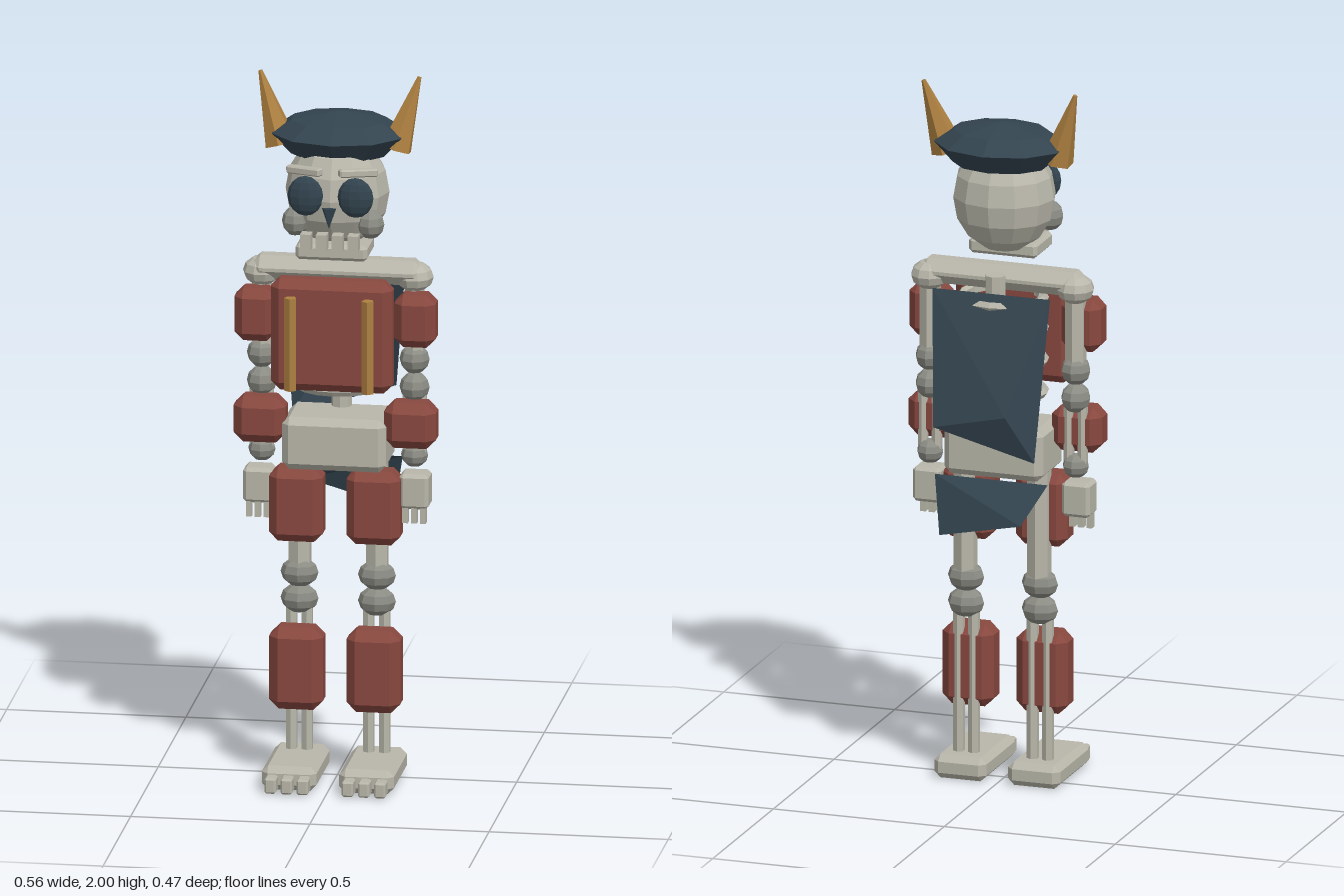
import * as THREE from 'three';
import { ConvexGeometry } from 'three/addons/geometries/ConvexGeometry.js';

function material(name, color, side = THREE.FrontSide) {
  const m = new THREE.MeshStandardMaterial({ color, flatShading: true, side });
  m.name = name;
  return m;
}

export function createModel() {
  const bone = material('bone', 0xb9b7aa);
  const joint = material('jointBone', 0x8b8c84);
  const red = material('redArmour', 0x88483f);
  const cloth = material('darkCloth', 0x33444f, THREE.DoubleSide);
  const gold = material('gold', 0xad8040);

  const root = new THREE.Group();
  root.name = 'skeletonWarrior';

  function add(name, geometry, mat, x = 0, y = 0, z = 0, parent = root) {
    const mesh = new THREE.Mesh(geometry, mat);
    mesh.name = name;
    mesh.position.set(x, y, z);
    parent.add(mesh);
    return mesh;
  }

  // Box with all edges and corners bevelled by c
  function bevelBox(w, h, d, c) {
    const points = [];
    for (const x of [-1, 1]) for (const y of [-1, 1]) for (const z of [-1, 1]) {
      const a = w / 2, b = h / 2, e = d / 2;
      points.push(new THREE.Vector3(x * a, y * (b - c), z * (e - c)));
      points.push(new THREE.Vector3(x * (a - c), y * b, z * (e - c)));
      points.push(new THREE.Vector3(x * (a - c), y * (b - c), z * e));
    }
    return new ConvexGeometry(points);
  }
  const ball = (rx, ry, rz, w = 8, h = 6) => new THREE.SphereGeometry(1, w, h).scale(rx, ry, rz);
  const rod = (r, length, sides = 6) => new THREE.CylinderGeometry(r, r, length, sides);

  // Flat cloth piece from an outline and its triangles
  function clothPiece(name, corners, faces) {
    const g = new THREE.BufferGeometry();
    g.setAttribute('position', new THREE.Float32BufferAttribute(corners.flat(), 3));
    g.setIndex(faces);
    const flat = g.toNonIndexed();
    flat.computeVertexNormals();
    add(name, flat, cloth);
  }

  // Head
  const head = new THREE.Group();
  head.name = 'head';
  root.add(head);
  add('skull', ball(0.145, 0.16, 0.138, 12, 8), bone, 0, 1.68, -0.003, head);
  add('jaw', bevelBox(0.2, 0.045, 0.14, 0.01), bone, 0, 1.53, 0.048, head);
  for (let i = 0; i < 4; i++) {
    add('tooth', new THREE.BoxGeometry(0.03, 0.045, 0.035), bone, (i - 1.5) * 0.044, 1.568, 0.135, head);
  }
  const nose = add('noseHole', new THREE.ConeGeometry(0.021, 0.058, 5), cloth, 0, 1.64, 0.155, head);
  nose.rotation.x = Math.PI;
  nose.scale.z = 0.45;

  // Cap
  const capProfile = [[0, 1.9], [0.135, 1.875], [0.19, 1.838], [0.137, 1.78], [0, 1.78]]
    .reverse().map(([r, y]) => new THREE.Vector2(r, y));
  const cap = add('cap', new THREE.LatheGeometry(capProfile, 10), cloth, 0, 0, -0.03, head);
  cap.scale.z = 0.8;

  // Torso
  add('collarBar', bevelBox(0.49, 0.07, 0.095, 0.03), bone, 0, 1.45, -0.012);
  add('spine', rod(0.029, 0.5, 8), bone, 0, 1.22, -0.077);
  for (const y of [1.125, 1.215, 1.305, 1.39]) {
    const rib = new THREE.TorusGeometry(0.115, 0.015, 5, 16).rotateX(Math.PI / 2).scale(1, 1, 0.9);
    add('rib', rib, bone, 0, y, -0.018);
  }
  add('chestPlate', bevelBox(0.34, 0.32, 0.078, 0.025), red, 0, 1.29, 0.09);
  add('pelvis', bevelBox(0.29, 0.15, 0.19, 0.02), bone, 0, 0.965, -0.015);

  // Torn cloak and hip cloth
  clothPiece('cloak', [
    [0.172, 1.425, -0.112], [-0.172, 1.425, -0.112], [-0.155, 0.975, -0.195],
    [-0.083, 1.11, -0.235], [0.13, 1.06, -0.225],
  ], [0, 3, 1, 1, 3, 2, 0, 4, 3, 4, 2, 3]);
  clothPiece('hipCloth', [
    [0.165, 0.89, -0.112], [-0.165, 0.89, -0.112], [-0.115, 0.79, -0.197], [0.135, 0.73, -0.16],
  ], [0, 2, 1, 0, 3, 2]);

  // Paired parts, s = side
  for (const s of [1, -1]) {
    const label = s > 0 ? 'left' : 'right';

    // Face and horns
    add(label + 'Eye', ball(0.05, 0.057, 0.022, 10, 8), cloth, s * 0.07, 1.695, 0.127, head);
    add(label + 'Cheek', ball(0.038, 0.042, 0.04), joint, s * 0.105, 1.608, 0.078, head);
    const brow = add(label + 'Brow', bevelBox(0.11, 0.022, 0.025, 0.004), bone, s * 0.075, 1.763, 0.112, head);
    brow.rotation.set(0, s * 0.45, s * -0.05);
    const base = new THREE.Vector3(s * 0.16, 1.8, -0.02);
    const axis = new THREE.Vector3(s * 0.222, 2.0, -0.045).sub(base);
    const horn = add(label + 'Horn', new THREE.CylinderGeometry(0.006, 0.047, axis.length(), 6), gold, 0, 0, 0, head);
    horn.position.copy(base).addScaledVector(axis, 0.5);
    horn.quaternion.setFromUnitVectors(new THREE.Vector3(0, 1, 0), axis.clone().normalize());

    add(label + 'ChestStripe', rod(0.018, 0.265, 5), gold, s * 0.108, 1.275, 0.152);

    // Arm
    const arm = new THREE.Group();
    arm.name = label + 'Arm';
    arm.position.x = s * 0.213;
    root.add(arm);
    add('shoulder', ball(0.053, 0.042, 0.055, 10, 6), bone, 0, 1.435, -0.018, arm);
    add('upperArmBone', rod(0.03, 0.22), bone, 0, 1.3, -0.015, arm);
    add('upperArmGuard', bevelBox(0.115, 0.15, 0.095, 0.025), red, s * 0.01, 1.325, 0.025, arm);
    for (const y of [1.2, 1.12]) add('elbow', ball(0.042, 0.042, 0.045), joint, 0, y, -0.015, arm);
    for (const x of [-0.02, 0.02]) add('forearmBone', rod(0.015, 0.21), bone, x, 1.02, -0.015, arm);
    add('forearmGuard', bevelBox(0.145, 0.13, 0.1, 0.027), red, s * -0.003, 1.025, 0.026, arm);
    add('wrist', ball(0.038, 0.035, 0.038), joint, 0, 0.925, -0.015, arm);
    add('hand', bevelBox(0.082, 0.1, 0.075, 0.01), bone, s * 0.005, 0.83, 0, arm);
    for (const x of [-0.025, 0, 0.025]) {
      add('finger', new THREE.BoxGeometry(0.016, 0.045, 0.022), bone, s * 0.005 + x, 0.762, 0.02, arm);
    }

    // Leg
    const leg = new THREE.Group();
    leg.name = label + 'Leg';
    leg.position.x = s * 0.108;
    root.add(leg);
    add('thighBone', rod(0.034, 0.38), bone, 0, 0.75, -0.02, leg);
    add('thighGuard', bevelBox(0.15, 0.21, 0.1, 0.025), red, 0, 0.785, 0.026, leg);
    for (const y of [0.575, 0.5]) add('knee', ball(0.053, 0.042, 0.045), joint, 0, y, -0.015, leg);
    for (const x of [-0.022, 0.022]) add('shinBone', rod(0.017, 0.45), bone, x, 0.28, -0.012, leg);
    add('shinGuard', bevelBox(0.15, 0.235, 0.1, 0.027), red, 0, 0.315, 0.026, leg);
    add('foot', bevelBox(0.153, 0.068, 0.27, 0.018), bone, 0, 0.035, 0.055, leg);
    for (const x of [-0.045, 0, 0.045]) {
      add('toe', bevelBox(0.032, 0.044, 0.065, 0.005), bone, x, 0.026, 0.2, leg);
    }
  }
  return root;
}
